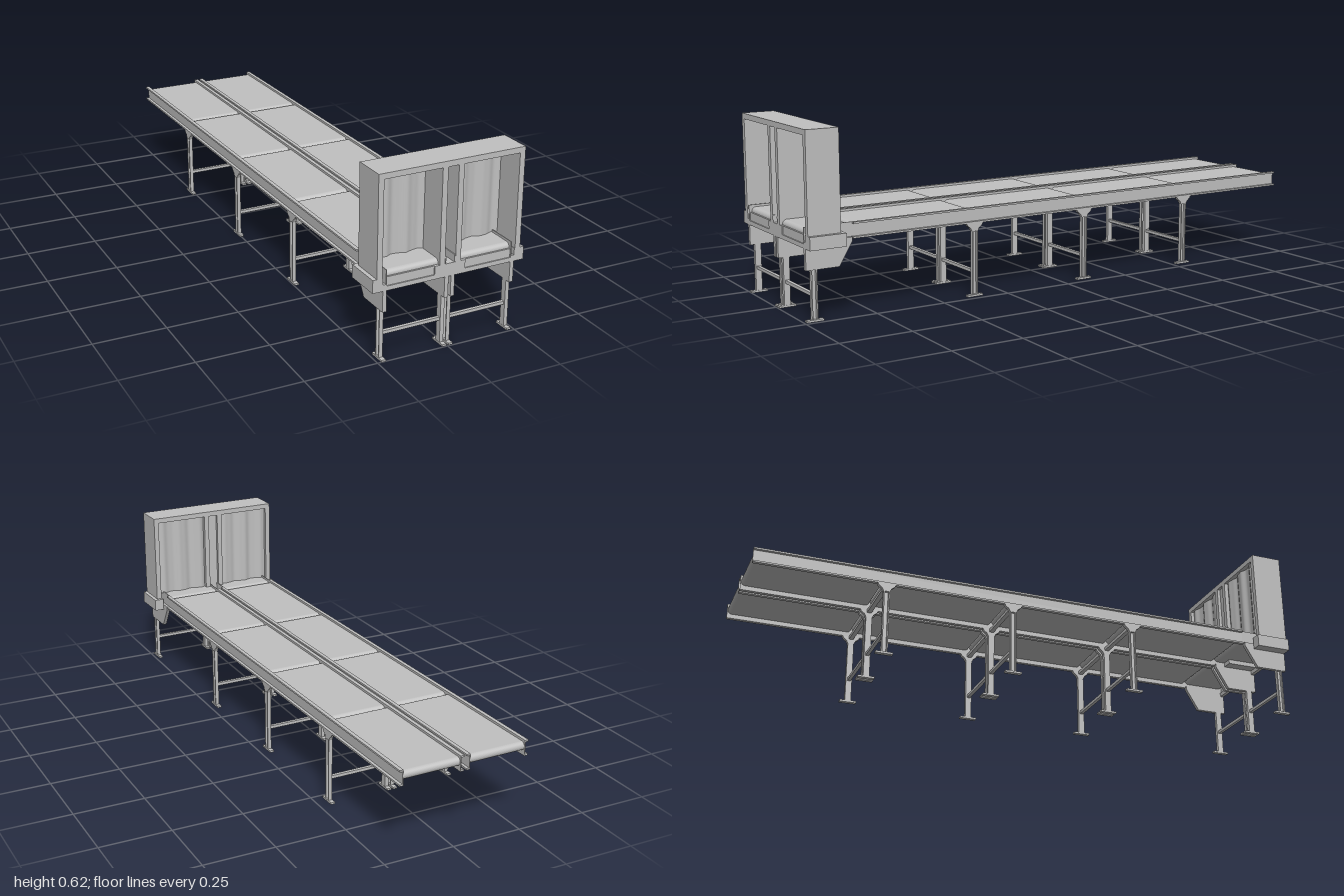
import * as THREE from 'three';

const steel = new THREE.MeshStandardMaterial({ color: 0xc0c0c0, side: THREE.DoubleSide });
steel.name = 'plain grey steel';

function add(parent, name, geometry) {
  const mesh = new THREE.Mesh(geometry, steel);
  mesh.name = name;
  parent.add(mesh);
  return mesh;
}

// Box given by its limits on each axis
function box(parent, name, x0, x1, y0, y1, z0, z1) {
  const g = new THREE.BoxGeometry(x1 - x0, y1 - y0, z1 - z0);
  g.translate((x0 + x1) / 2, (y0 + y1) / 2, (z0 + z1) / 2);
  return add(parent, name, g);
}

// Side shape drawn in (-z, y), extruded across x
function across(parent, name, shape, x0, x1) {
  const g = new THREE.ExtrudeGeometry(shape, { depth: x1 - x0, bevelEnabled: false, curveSegments: 10 });
  g.rotateY(Math.PI / 2);
  g.translate(x0, 0, 0);
  return add(parent, name, g);
}

const profile = (points) => new THREE.Shape(points.map(([z, y]) => new THREE.Vector2(-z, y)));

// Lane limits: clear width between rails, outer width over the flanges
const INNER = [0.018, 0.224];
const OUTER = [0.0045, 0.2375];
const SEAM = 0.822, STEP = 0.4545, BACK = -0.996, FRONT = 0.995;

// Belt loop with rounded ends
function belt(parent, name, z0, z1) {
  const r = 0.015, y = 0.287;
  const s = new THREE.Shape();
  s.moveTo(-z1 + r, y - r);
  s.lineTo(-z0 - r, y - r);
  s.absarc(-z0 - r, y, r, -Math.PI / 2, Math.PI / 2, false);
  s.lineTo(-z1 + r, y + r);
  s.absarc(-z1 + r, y, r, Math.PI / 2, Math.PI * 1.5, false);
  across(parent, name, s, ...INNER);
}

// C-channel rail, open away from the belt
function rail(parent, web, edge) {
  const dir = Math.sign(edge - web), g = new THREE.Group();
  g.name = 'sideRail';
  const span = (a, b) => [Math.min(a, b), Math.max(a, b)];
  box(g, 'railWeb', ...span(web, web + dir * 0.003), 0.256, 0.31, BACK, SEAM + 0.004);
  for (const y of [0.256, 0.304]) {
    box(g, 'railFlange', ...span(web, edge), y, y + 0.006, BACK, SEAM + 0.004);
  }
  parent.add(g);
}

// Channel post with foot plate and optional flared head
function leg(parent, web, edge, z, top, flared) {
  const g = new THREE.Group();
  g.name = 'leg';
  const x0 = Math.min(web, edge), x1 = Math.max(web, edge);
  const w = web < edge ? x0 : x1 - 0.004;
  box(g, 'legWeb', w, w + 0.004, 0.006, top, z - 0.011, z + 0.011);
  for (const s of [-1, 1]) {
    const c = z + s * 0.009;
    box(g, 'legFlange', x0, x1, 0.006, top, c - 0.002, c + 0.002);
  }
  box(g, 'footPlate', x0 - 0.001, x1 + 0.001, 0, 0.007, z - 0.03, z + 0.03);
  if (flared) {
    across(g, 'legHead', profile([
      [z - 0.032, 0.256], [z - 0.028, 0.248], [z - 0.017, 0.24], [z - 0.011, 0.228],
      [z + 0.011, 0.228], [z + 0.017, 0.24], [z + 0.028, 0.248], [z + 0.032, 0.256],
    ]), x0, x1);
  }
  parent.add(g);
}

// One conveyor lane on the +x side
function lane() {
  const g = new THREE.Group();
  const sides = [[INNER[0], OUTER[0]], [INNER[1], OUTER[1]]];
  for (const [web, edge] of sides) rail(g, web, edge);

  // belts
  for (let i = 0; i < 4; i++) {
    const z1 = SEAM - i * STEP;
    belt(g, 'beltSection', z1 - STEP + 0.002, z1 - 0.002);
  }
  belt(g, 'infeedBelt', SEAM + 0.002, 0.985);

  // leg frames
  [0.967, 0.371, -0.085, -0.541].forEach((z, i) => {
    for (const [web, edge] of sides) leg(g, web, edge, z, i ? 0.256 : 0.24, i > 0);
    box(g, 'lowerCrossbar', INNER[0], INNER[1], 0.082, 0.093, z - 0.006, z + 0.006);
    if (i) box(g, 'upperCrossbar', INNER[0], INNER[1], 0.245, 0.257, z - 0.008, z + 0.008);
  });

  // cheeks of the infeed head: heavy lower part, thin upper plate
  for (const [web, edge] of sides) {
    const dir = Math.sign(edge - web);
    across(g, 'headCheek', profile([
      [FRONT, 0.17], [0.878, 0.17], [0.83, 0.25], [0.83, 0.262], [FRONT, 0.262],
    ]), Math.min(web, edge), Math.max(web, edge));
    const thin = [web, web + dir * 0.003].sort((a, b) => a - b);
    box(g, 'headPlate', ...thin, 0.262, 0.31, 0.826, FRONT);
  }

  // collar around the foot of the tunnel
  box(g, 'collarOuterBlock', 0.2375, 0.273, 0.241, 0.285, 0.867, FRONT);
  box(g, 'collarInnerBlock', 0, 0.055, 0.256, 0.285, 0.867, FRONT);
  box(g, 'collarSill', 0, 0.273, 0.241, 0.256, FRONT - 0.014, FRONT);
  box(g, 'frontPanel', 0.055, INNER[1], 0.256, 0.285, FRONT - 0.01, FRONT - 0.004);

  // tunnel walls and roof
  box(g, 'tunnelOuterWall', 0.24, 0.259, 0.276, 0.606, 0.88, FRONT);
  box(g, 'tunnelInnerWall', 0.019, 0.038, 0.276, 0.606, 0.88, FRONT);
  box(g, 'tunnelRoof', 0, 0.259, 0.605, 0.624, 0.88, FRONT);

  // wavy curtain
  const c = new THREE.PlaneGeometry(0.202, 0.302, 48, 1);
  c.translate(0.139, 0.454, 0);
  const p = c.attributes.position;
  for (let i = 0; i < p.count; i++) {
    const x = p.getX(i);
    p.setZ(i, 0.894 + 0.005 * Math.sin(x * 78) + 0.001 * Math.sin(x * 190 + 1));
  }
  c.computeVertexNormals();
  add(g, 'curtain', c);
  return g;
}

// Mirrored copy with real geometry, so faces keep their winding
function mirrored(source) {
  const copy = source.clone(true);
  copy.traverse((o) => {
    if (!o.isMesh) return;
    const m = o.geometry.index ? o.geometry.toNonIndexed() : o.geometry.clone();
    m.scale(-1, 1, 1);
    for (const { array: d, itemSize: n, count } of Object.values(m.attributes)) {
      for (let t = 0; t < count; t += 3) {
        for (let k = 0; k < n; k++) {
          const u = (t + 1) * n + k, v = (t + 2) * n + k;
          [d[u], d[v]] = [d[v], d[u]];
        }
      }
    }
    o.geometry = m;
  });
  return copy;
}

export function createModel() {
  const model = new THREE.Group();
  model.name = 'twinConveyor';
  const body = new THREE.Group();
  body.name = 'conveyorBody';
  const left = lane();
  left.name = 'leftLane';
  const right = mirrored(left);
  right.name = 'rightLane';
  body.add(left, right);

  // centre curtain between the two lanes
  box(body, 'centreCurtain', -0.019, 0.019, 0.285, 0.606, 0.892, 0.896);

  // the whole line stands one degree askew
  body.rotation.y = Math.PI / 180;
  body.position.x = -0.0165;
  model.add(body);
  return model;
}
